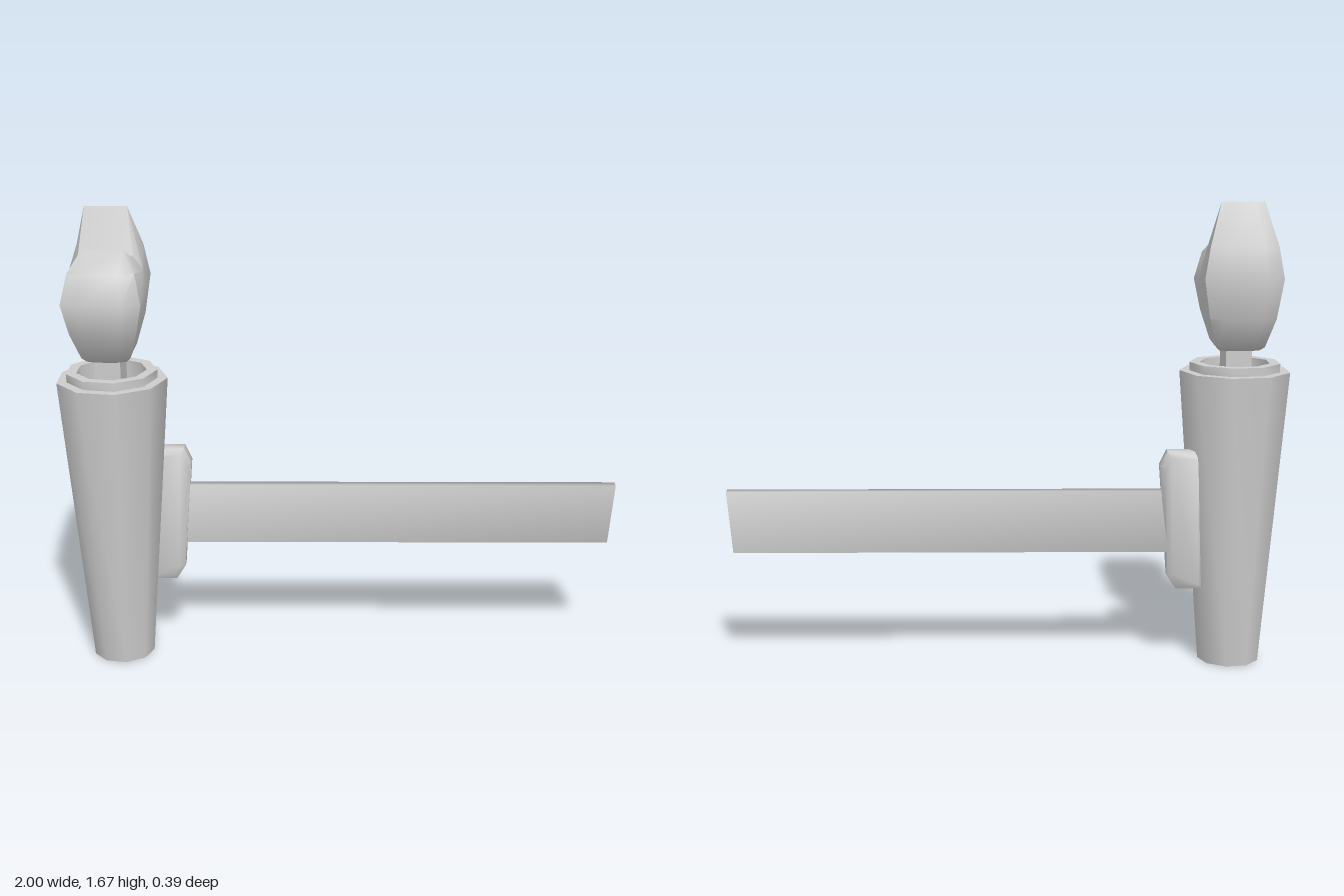
import * as THREE from 'three';
import { toCreasedNormals, mergeVertices } from 'three/addons/utils/BufferGeometryUtils.js';

const CX = -0.813; // axis of the upright handle
const material = new THREE.MeshStandardMaterial({ color: 0xcccccc, side: THREE.DoubleSide });

function add(group, name, geometry, x = 0, y = 0, z = 0) {
  const mesh = new THREE.Mesh(geometry, material);
  mesh.name = name;
  mesh.position.set(x, y, z);
  group.add(mesh);
}

// Nine-sided tapered handle with a stepped, hollow rim
function handleGeometry() {
  const profile = [
    [0, 0], [0.111, 0], [0.198, 1.07], [0.162, 1.07],
    [0.162, 1.1], [0.125, 1.1], [0.125, 0.97], [0, 0.97],
  ].map(([r, y]) => new THREE.Vector2(r, y));
  return toCreasedNormals(new THREE.LatheGeometry(profile, 9, Math.PI / 2), 0.9);
}

// Bulb whose top splits into a low front lobe and a tall back lobe.
// Each row is [z, y, half width] for the front, the middle and the back.
function headGeometry() {
  const front = [[0.08, 1.15, 0.07], [0.11, 1.17, 0.085], [0.17, 1.27, 0.115], [0.2, 1.38, 0.137], [0.15, 1.48, 0.115], [0.06, 1.545, 0.072]];
  const middle = [[0, 1.15, 0.07], [0, 1.17, 0.085], [0, 1.27, 0.118], [0, 1.39, 0.137], [0, 1.46, 0.128], [0, 1.51, 0.095]];
  const back = [[-0.08, 1.15, 0.07], [-0.115, 1.165, 0.085], [-0.175, 1.27, 0.115], [-0.19, 1.41, 0.137], [-0.17, 1.52, 0.118], [-0.075, 1.67, 0.075]];
  const pos = [], index = [], n = 12;
  front.forEach((f, i) => {
    const m = middle[i], b = back[i];
    const inset = i === front.length - 1 ? 0.97 : 0.83;
    const half = [
      [f[2] * 0.55, f[1], f[0]], [f[2], f[1], f[0] * inset],
      [m[2], m[1], 0.012], [m[2], m[1], -0.014],
      [b[2], b[1], b[0] * inset], [b[2] * 0.55, b[1], b[0]],
    ];
    half.forEach((p) => pos.push(...p));
    half.slice().reverse().forEach(([x, y, z]) => pos.push(-x, y, z));
  });
  const quad = (a, b, c, d) => index.push(a, b, c, a, c, d);
  for (let i = 0; i < front.length - 1; i++) {
    for (let j = 0; j < n; j++) {
      const k = (j + 1) % n;
      quad(i * n + j, i * n + k, (i + 1) * n + k, (i + 1) * n + j);
    }
  }
  // Close the bottom and the notched top
  const top = (front.length - 1) * n;
  for (let k = 0; k < 5; k++) {
    quad(top + k, top + k + 1, top + 10 - k, top + 11 - k);
    quad(11 - k, 10 - k, k + 1, k);
  }
  const g = new THREE.BufferGeometry();
  g.setAttribute('position', new THREE.Float32BufferAttribute(pos, 3));
  g.setIndex(index);
  return toCreasedNormals(g, 0.95);
}

// Chamfered mount plate, thinner towards its lower end
function mountGeometry() {
  const outline = [
    [-0.71, 0.28], [-0.61, 0.28], [-0.577, 0.33],
    [-0.545, 0.735], [-0.57, 0.79], [-0.7, 0.79],
  ].map(([x, y]) => new THREE.Vector2(x, y));
  const g = new THREE.ExtrudeGeometry(new THREE.Shape(outline), {
    depth: 0.05, bevelEnabled: true, bevelThickness: 0.02,
    bevelSize: 0.02, bevelOffset: -0.02, bevelSegments: 1,
  });
  const p = g.attributes.position;
  for (let i = 0; i < p.count; i++) {
    const t = (p.getY(i) - 0.28) / 0.51;
    const depth = THREE.MathUtils.lerp(0.06, 0.09, t);
    p.setZ(i, -0.013 - depth * (1 - (p.getZ(i) + 0.02) / 0.09));
  }
  return toCreasedNormals(g, 0.9);
}

// Long flat bar with a slanted end and soft shading
function barGeometry() {
  let g = new THREE.BoxGeometry(1.6, 0.225, 0.037);
  g.deleteAttribute('normal');
  g.deleteAttribute('uv');
  g = mergeVertices(g);
  const p = g.attributes.position;
  for (let i = 0; i < p.count; i++) {
    if (p.getX(i) > 0 && p.getY(i) < 0) p.setX(i, p.getX(i) - 0.02);
  }
  g.computeVertexNormals();
  return g;
}

export function createModel() {
  const model = new THREE.Group();
  model.name = 'handleWithSideBar';
  add(model, 'handle', handleGeometry());
  model.getObjectByName('handle').position.x = CX;
  add(model, 'stem', new THREE.BoxGeometry(0.09, 0.21, 0.157), CX - 0.002, 1.065, 0.002);
  add(model, 'splitHead', headGeometry(), CX - 0.004);
  add(model, 'sideMount', mountGeometry());
  add(model, 'sideBar', barGeometry(), 0.2, 0.5335, -0.056);
  return model;
}
